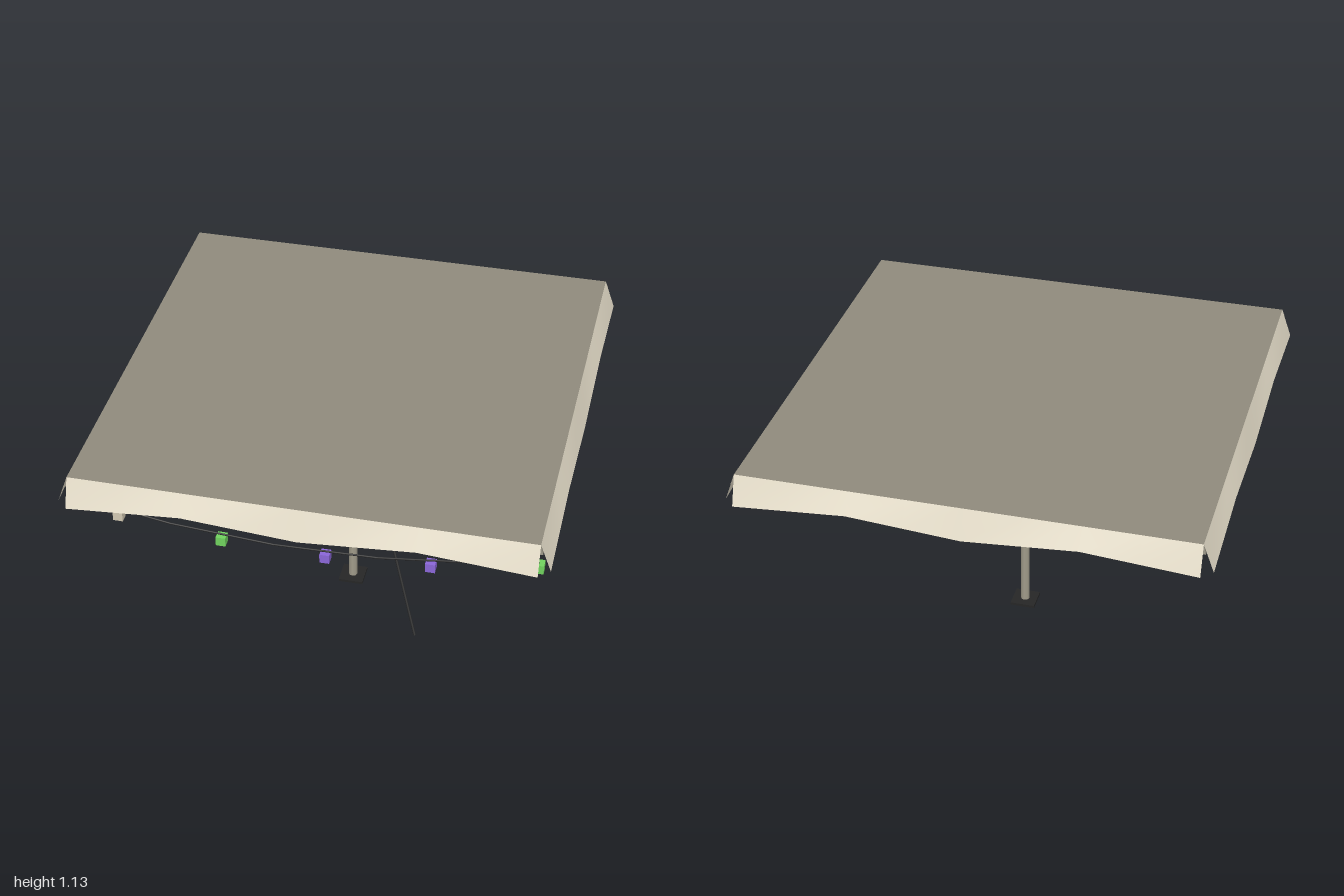
import * as THREE from 'three';

const mat = (name, color, extra = {}) => {
  const m = new THREE.MeshStandardMaterial({ color, ...extra });
  m.name = name;
  return m;
};

export function createModel() {
  const group = new THREE.Group();
  const roofMat = mat('roof canvas', 0x8f8a7c, { flatShading: true });
  const valanceMat = mat('valance cloth', 0xe4dcc8, { side: THREE.DoubleSide });
  const poleMat = mat('pole metal', 0xa09b8a);
  const darkMat = mat('dark iron', 0x262626);
  const green = mat('green lantern', 0x70d25e);
  const purple = mat('purple lantern', 0x8a66d8);
  const pale = mat('pale lantern', 0xd2c9b2);

  const add = (name, geometry, material, x = 0, y = 0, z = 0) => {
    const mesh = new THREE.Mesh(geometry, material);
    mesh.name = name;
    mesh.position.set(x, y, z);
    group.add(mesh);
    return mesh;
  };

  // Thin round bar between two points
  const bar = (name, a, b, radius, material) => {
    const dir = b.clone().sub(a);
    const mesh = add(name, new THREE.CylinderGeometry(radius, radius, dir.length(), 6), material);
    mesh.position.copy(a).add(b).multiplyScalar(0.5);
    mesh.quaternion.setFromUnitVectors(new THREE.Vector3(0, 1, 0), dir.normalize());
  };

  // Canopy slab, slightly wider at its underside, and the two ribs beneath it
  const half = 0.955, top = 1.13, under = 1.092;
  const slab = new THREE.CylinderGeometry(half * Math.SQRT2, 0.967 * Math.SQRT2, top - under, 4);
  add('canopy', slab, roofMat, 0, (top + under) / 2, 0).rotation.y = Math.PI / 4;
  add('ribAcross', new THREE.BoxGeometry(half * 2, 0.006, 0.008), roofMat, 0, under - 0.003, 0);
  add('ribAlong', new THREE.BoxGeometry(0.008, 0.006, half * 2), roofMat, 0, under - 0.003, 0);

  // Flared valance with a two-wave hem, once per side
  const cloth = new THREE.PlaneGeometry(half * 2, 1, 8, 1);
  const p = cloth.attributes.position;
  for (let i = 0; i < p.count; i++) {
    const x = p.getX(i);
    if (p.getY(i) > 0) p.setXYZ(i, x, top, half);
    else p.setXYZ(i, x, 1.004 + 0.036 * Math.sin(Math.PI * x / half) ** 2, 1);
  }
  cloth.computeVertexNormals();
  ['Front', 'Left', 'Back', 'Right'].forEach((side, i) => {
    add('valance' + side, cloth, valanceMat).rotation.y = i * Math.PI / 2;
  });

  // Centre pole, foot plate and slanting stay
  add('pole', new THREE.CylinderGeometry(0.02, 0.02, 1.085, 8), poleMat, 0, 0.5525, 0);
  add('footPlate', new THREE.BoxGeometry(0.11, 0.012, 0.11), darkMat, 0, 0.006, 0);
  bar('stay', new THREE.Vector3(0, 1.085, 0), new THREE.Vector3(0.36, 0.02, 0.36), 0.006, darkMat);

  // Sagging string, and lanterns hung evenly along it
  const sag = (i) => {
    const t = i / 4.5 - 1;
    return new THREE.Vector3(t * half, 0.942 + 0.107 * t * t, 0.963);
  };
  const knots = [0, 2, 4, 6, 8, 9].map(sag);
  for (let i = 1; i < knots.length; i++) bar('string', knots[i - 1], knots[i], 0.004, darkMat);
  [pale, green, purple, purple, green].forEach((colour, i) => {
    const { x, y, z } = sag(i * 2 + 1);
    add('lantern', new THREE.BoxGeometry(0.04, 0.04, 0.04), colour, x, y - 0.02, z);
  });

  return group;
}
